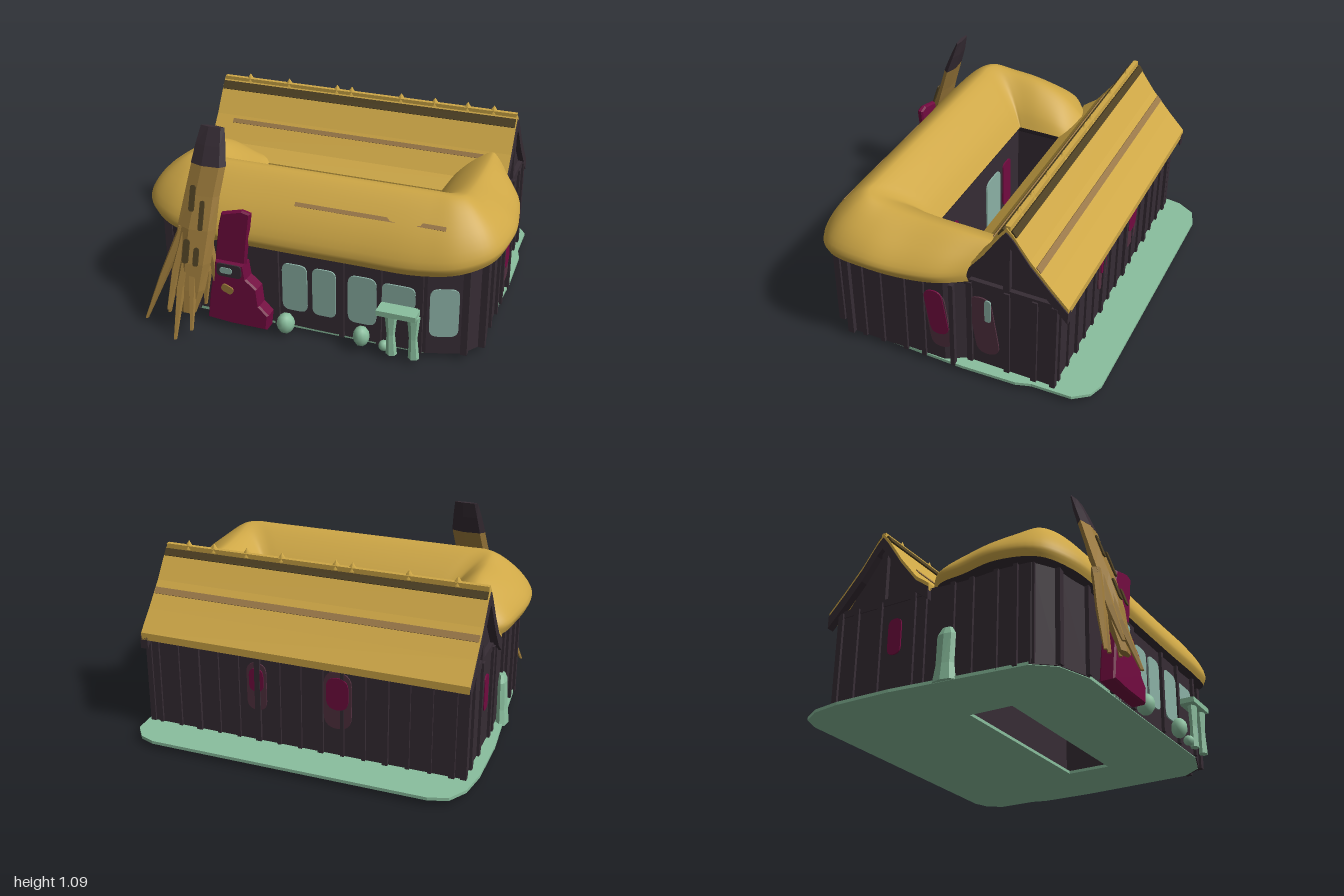
import * as THREE from 'three';

const mat = (name, color, side = THREE.FrontSide) => {
  const m = new THREE.MeshStandardMaterial({ color, side });
  m.name = name;
  return m;
};

export function createModel() {
  const model = new THREE.Group();
  model.name = 'thatchedCourtyardHouse';
  const M = {
    thatch: mat('golden thatch', 0xcea746, THREE.DoubleSide),
    wood: mat('dark timber', 0x362c34, THREE.DoubleSide),
    glass: mat('pale window', 0x8bb1a5),
    stone: mat('green stone', 0x8abf9e),
    cloth: mat('crimson cloth', 0x720b40),
    stain: mat('mauve stain', 0x51303f),
    streak: mat('thatch streak', 0x9a7848),
    ridge: mat('ridge rope', 0x4d3f22),
    root: mat('root brown', 0x9c7a3b, THREE.DoubleSide),
  };

  const add = (name, geo, material, pos = [0, 0, 0], rot = [0, 0, 0]) => {
    const mesh = new THREE.Mesh(geo, material);
    mesh.name = name;
    mesh.position.set(...pos);
    mesh.rotation.set(...rot);
    model.add(mesh);
    return mesh;
  };
  const box = (name, m, size, pos, rot) => add(name, new THREE.BoxGeometry(...size), m, pos, rot);
  const shapeOf = pts => new THREE.Shape(pts.map(p => new THREE.Vector2(...p)));
  const V = p => new THREE.Vector3(...p);

  // Surface through a grid of points; rows run along u, entries along v
  const gridGeo = rows => {
    const n = rows[0].length, pos = rows.flat().flatMap(p => [p.x, p.y, p.z]), idx = [];
    for (let i = 0; i < rows.length - 1; i++) for (let j = 0; j < n - 1; j++) {
      const a = i * n + j, b = a + n;
      idx.push(a, b, a + 1, b, b + 1, a + 1);
    }
    const g = new THREE.BufferGeometry();
    g.setAttribute('position', new THREE.Float32BufferAttribute(pos, 3));
    g.setIndex(idx);
    g.computeVertexNormals();
    return g;
  };
  const smoothRows = (rows, nu, nv) => {
    const fine = rows.map(r => new THREE.CatmullRomCurve3(r).getPoints(nv));
    const cols = fine[0].map((_, j) => new THREE.CatmullRomCurve3(fine.map(r => r[j])).getPoints(nu));
    return cols[0].map((_, i) => cols.map(c => c[i]));
  };

  // Flat plan extruded downward from y = top
  const slab = (name, m, outline, hole, top, height) => {
    const s = shapeOf(outline);
    const [x0, x1, z0, z1] = hole;
    s.holes.push(new THREE.Path([[x0, z0], [x0, z1], [x1, z1], [x1, z0]].map(p => new THREE.Vector2(...p))));
    const g = new THREE.ExtrudeGeometry(s, { depth: height, bevelEnabled: false });
    g.rotateX(Math.PI / 2);
    return add(name, g, m, [0, top, 0]);
  };
  // Profile in z, y extruded along x
  const alongX = (name, m, pts, x0, x1) => {
    const g = new THREE.ExtrudeGeometry(shapeOf(pts), { depth: x1 - x0, bevelEnabled: false });
    g.rotateY(-Math.PI / 2);
    return add(name, g, m, [x1, 0, 0]);
  };
  // Thin rounded plate facing outward
  const plate = (name, m, w, h, pos, ry = 0, k = 0.3, tilt = 0) => {
    const r = Math.min(w, h) * k, a = w / 2, b = h / 2, s = new THREE.Shape();
    s.moveTo(-a + r, -b).lineTo(a - r, -b).quadraticCurveTo(a, -b, a, -b + r).lineTo(a, b - r)
      .quadraticCurveTo(a, b, a - r, b).lineTo(-a + r, b).quadraticCurveTo(-a, b, -a, b - r)
      .lineTo(-a, -b + r).quadraticCurveTo(-a, -b, -a + r, -b);
    return add(name, new THREE.ExtrudeGeometry(s, { depth: 0.008, bevelEnabled: false, curveSegments: 5 }), m, pos, [0, ry, tilt]);
  };
  // Tapered limb through [x, y, z, radiusX, radiusZ], listed top to bottom
  const limb = (name, m, pts, sides = 6) => {
    const ends = [[...pts[0].slice(0, 3), 0, 0], ...pts, [...pts.at(-1).slice(0, 3), 0, 0]];
    const rows = ends.map(([x, y, z, rx, rz]) => Array.from({ length: sides + 1 }, (_, j) => {
      const a = -j / sides * Math.PI * 2 + Math.PI / 4;
      return new THREE.Vector3(x + rx * Math.cos(a), y, z + rz * Math.sin(a));
    }));
    const g = gridGeo(rows).toNonIndexed();
    g.computeVertexNormals();
    return add(name, g, m);
  };

  // Base and walls around an open courtyard
  slab('groundSlab', M.stone, [[-0.8, -0.915], [0.72, -0.91], [0.8, -0.88], [0.86, -0.8], [0.865, -0.58], [0.89, -0.5],
    [0.9, -0.2], [0.88, 0.45], [0.8, 0.56], [0.62, 0.62], [-0.64, 0.62], [-0.83, 0.56], [-0.92, 0.45], [-0.95, 0.1],
    [-0.985, -0.3], [-0.985, -0.62], [-0.96, -0.78], [-0.9, -0.88]], [-0.54, 0.51, -0.12, 0.13], 0.045, 0.017);
  slab('walls', M.wood, [[-0.92, -0.69], [0.83, -0.69], [0.83, -0.2], [0.89, -0.1], [0.89, 0.46], [0.82, 0.56],
    [0.64, 0.62], [-0.66, 0.62], [-0.84, 0.56], [-0.92, 0.46]], [-0.56, 0.53, -0.15, 0.15], 0.58, 0.548);

  // Wall posts
  const post = (x, z, w = 0.025) => box('wallPost', M.wood, [w, 0.54, w], [x, 0.305, z]);
  for (const x of [-0.66, -0.42, -0.18, 0.185, 0.39, 0.61]) post(x, 0.625);
  for (const s of [-1, 1]) { post(s * 0.83, 0.56, 0.035); post(s * 0.9, 0.46, 0.035); }
  for (const z of [0.38, 0.27, 0.13, 0.02, -0.15]) { post(0.893, z); post(-0.922, z); }
  for (const z of [-0.22, -0.43, -0.58, -0.685]) { post(0.83, z, 0.03); post(-0.92, z, 0.03); }
  for (let i = 0; i < 15; i++) post(-0.86 + i * 0.117, -0.692, i % 3 ? 0.02 : 0.03);

  // Back hall roof
  const top = [[-0.755, 0.59], [-0.66, 0.69], [-0.55, 0.815], [-0.46, 0.94], [-0.425, 0.975],
    [-0.39, 0.93], [-0.3, 0.79], [-0.2, 0.66], [-0.12, 0.6]];
  const band = (dTop, dBottom) => [...top.map(([z, y]) => [z, y - dTop]), ...top.map(([z, y]) => [z, y - dBottom]).reverse()];
  alongX('hallRoof', M.thatch, band(0, 0.04), -0.945, 0.835);
  for (const x of [-0.95, 0.8]) alongX('bargeBoard', M.wood, band(0.022, 0.09), x, x + 0.042);
  alongX('gableWall', M.wood, [[-0.69, 0.56], [-0.15, 0.56], [-0.425, 0.93]], -0.9, 0.81);
  for (const x of [-0.905, 0.815]) {
    box('tieBeam', M.wood, [0.04, 0.04, 0.52], [x, 0.57, -0.42]);
    box('kingPost', M.wood, [0.04, 0.34, 0.035], [x, 0.74, -0.425]);
  }
  // Ridge cap, ropes and pegs
  box('ridgeCap', M.thatch, [1.77, 0.03, 0.026], [-0.055, 0.97, -0.43]);
  box('ridgeRopeFront', M.ridge, [1.77, 0.014, 0.05], [-0.055, 0.938, -0.393], [1.0, 0, 0]);
  box('ridgeRopeBack', M.ridge, [1.77, 0.014, 0.04], [-0.055, 0.943, -0.46], [-0.95, 0, 0]);
  for (const x of [-0.78, -0.53, -0.23, -0.14, 0.16, 0.36, 0.55, 0.7])
    add('ridgePeg', new THREE.ConeGeometry(0.034, 0.05, 4), M.thatch, [x, 0.99, -0.43]).scale.z = 0.6;
  box('frontStreak', M.streak, [1.55, 0.01, 0.026], [-0.06, 0.764, -0.28], [0.915, 0, 0]);
  box('backStreak', M.streak, [1.77, 0.01, 0.036], [-0.055, 0.77, -0.59], [-0.85, 0, 0]);

  // U-shaped wing roof stations: eave, ridge and inner edge in x, z, then ridge and eave heights
  const front = [
    [0.98, 0.1, 0.74, 0.1, 0.5, 0.03, 0.81, 0.63],
    [1.0, 0.3, 0.74, 0.28, 0.5, 0.12, 0.83, 0.64],
    [0.95, 0.53, 0.74, 0.38, 0.5, 0.13, 0.855, 0.62],
    [0.81, 0.64, 0.7, 0.41, 0.48, 0.13, 0.86, 0.585],
    [0.6, 0.68, 0.6, 0.41, 0.42, 0.13, 0.86, 0.56],
    [0.25, 0.68, 0.25, 0.41, 0.2, 0.13, 0.86, 0.555],
  ];
  const rightEnd = [
    [0.86, -0.22, 0.73, -0.31, 0.5, -0.22, 0.79, 0.64],
    [0.94, -0.08, 0.74, -0.12, 0.5, -0.1, 0.805, 0.635],
  ];
  const leftEnd = [
    [-0.86, -0.15, -0.74, -0.19, -0.54, -0.18, 0.64, 0.61],
    [-0.95, -0.06, -0.74, -0.06, -0.54, -0.08, 0.745, 0.63],
  ];
  const frontLeft = front.map(([ox, oz, rx, rz, ix, ...rest]) => [-ox, oz, -rx, rz, -ix - 0.04, ...rest]);
  const stations = [...leftEnd, ...frontLeft, ...front.slice().reverse(), ...rightEnd.slice().reverse()];
  const section = ([ox, oz, rx, rz, ix, iz, ry, ey]) => {
    const out = (f, y) => V([rx + (ox - rx) * f, y, rz + (oz - rz) * f]);
    const inn = (f, y) => V([rx + (ix - rx) * f, y, rz + (iz - rz) * f]);
    const d = ry - ey, e = ry - 0.6;
    return {
      top: [out(0.93, ey - 0.05), out(1, ey), out(0.82, ey + d * 0.38), out(0.5, ey + d * 0.73), out(0.2, ey + d * 0.95),
        out(0, ry), inn(0.35, ry - e * 0.2), inn(0.75, ry - e * 0.6), inn(1, 0.6)],
      under: [inn(1, 0.6), inn(0.9, 0.56), out(0.7, ey - 0.065), out(0.93, ey - 0.05)],
    };
  };
  const sections = stations.map(section);
  add('wingRoof', gridGeo(smoothRows(sections.map(s => s.top), 90, 24)), M.thatch);
  add('wingRoofUnderside', gridGeo(smoothRows(sections.map(s => s.under), 90, 6)), M.wood);
  box('wingStreak', M.streak, [0.8, 0.034, 0.022], [0.31, 0.737, 0.562], [0.8, 0, 0]);

  // Windows along the front and in the courtyard
  for (const [x, w] of [[-0.08, 0.14], [0.085, 0.13], [0.295, 0.155]])
    plate('frontWindow', M.glass, w, 0.28, [x, 0.28, 0.621]);
  plate('shortWindow', M.glass, 0.18, 0.13, [0.49, 0.345, 0.621]);
  plate('cornerWindow', M.glass, 0.15, 0.28, [0.725, 0.28, 0.593], 0.32);
  plate('courtyardDoor', M.glass, 0.18, 0.4, [-0.2, 0.25, 0.149], Math.PI);
  for (const x of [-0.38, 0.3]) plate('courtyardHanging', M.cloth, 0.1, 0.3, [x, 0.3, 0.149], Math.PI);

  // Stains and painted patches on the outer walls
  const R = Math.PI / 2;
  plate('rightPatch', M.cloth, 0.105, 0.28, [0.892, 0.36, -0.06], R, 0.5, 0.16);
  plate('rightPatchHalo', M.stain, 0.12, 0.36, [0.887, 0.31, -0.065], R, 0.5, 0.14);
  plate('rightStain', M.stain, 0.13, 0.37, [0.831, 0.31, -0.3], R, 0.5, 0.16);
  plate('rightSlit', M.glass, 0.035, 0.14, [0.837, 0.42, -0.325], R, 0.5);
  plate('leftPatch', M.cloth, 0.08, 0.2, [-0.921, 0.36, -0.33], -R, 0.5);
  for (const [x, w, h] of [[0.2, 0.08, 0.13], [-0.25, 0.12, 0.18]]) {
    plate('backPatch', M.cloth, w, h, [x, 0.4, -0.696], Math.PI, 0.5);
    plate('backPatchHalo', M.stain, w + 0.03, h + 0.14, [x, 0.36, -0.69], Math.PI, 0.5);
  }

  // Leaning rooted post
  limb('rootPostHead', M.wood, [[-0.56, 1.09, 0.52, 0.068, 0.012], [-0.563, 1.0, 0.55, 0.085, 0.025], [-0.565, 0.9, 0.585, 0.1, 0.03]]);
  limb('rootPostBody', M.root, [[-0.565, 0.9, 0.585, 0.098, 0.029], [-0.585, 0.75, 0.635, 0.1, 0.03],
    [-0.6, 0.58, 0.69, 0.11, 0.04], [-0.61, 0.4, 0.735, 0.1, 0.045], [-0.625, 0.25, 0.77, 0.09, 0.035], [-0.63, 0.12, 0.8, 0.05, 0.02]]);
  const roots = [[-0.67, -0.78, -0.87, 0.04, 0.82], [-0.68, -0.72, -0.75, 0.08, 0.78], [-0.65, -0.7, -0.72, 0.14, 0.84],
    [-0.62, -0.66, -0.66, 0.0, 0.9], [-0.6, -0.6, -0.58, 0.05, 0.86], [-0.56, -0.54, -0.55, 0.15, 0.74], [-0.56, -0.52, -0.5, 0.25, 0.7]];
  for (const [x0, x1, x2, y, z] of roots)
    limb('root', M.root, [[x0, 0.58, 0.685, 0.035, 0.03], [x1, (0.55 + y) / 2, (0.69 + z) / 2, 0.026, 0.024], [x2, y, z, 0.01, 0.01]], 5);
  for (const [x, y, w, h] of [[-0.62, 0.74, 0.03, 0.14], [-0.56, 0.66, 0.025, 0.16], [-0.63, 0.47, 0.035, 0.13], [-0.57, 0.45, 0.03, 0.1]])
    plate('rootHollow', M.ridge, w, h, [x, y, 0.69 + (0.6 - y) * 0.33 + 0.035], 0, 0.5).rotation.x = -0.32;

  // Crimson banner above a draped figure
  const drape = (name, pts, depth, z) => add(name, new THREE.ExtrudeGeometry(shapeOf(pts),
    { depth, bevelEnabled: true, bevelSize: 0.008, bevelThickness: 0.01, bevelSegments: 1 }), M.cloth, [0, 0, z]);
  drape('banner', [[-0.5, 0.4], [-0.34, 0.4], [-0.325, 0.52], [-0.3, 0.7], [-0.34, 0.71], [-0.45, 0.68], [-0.47, 0.6]], 0.015, 0.665);
  drape('drapedFigure', [[-0.55, 0.05], [-0.42, 0.04], [-0.22, 0.04], [-0.21, 0.12], [-0.26, 0.17], [-0.27, 0.27], [-0.33, 0.32],
    [-0.34, 0.4], [-0.49, 0.4], [-0.51, 0.3], [-0.53, 0.2]], 0.065, 0.635);
  plate('figureHollow', M.wood, 0.14, 0.075, [-0.415, 0.365, 0.711]);
  plate('figureFace', M.glass, 0.07, 0.035, [-0.43, 0.365, 0.715], 0, 0.5);
  plate('figureSash', M.root, 0.07, 0.045, [-0.43, 0.25, 0.711], 0, 0.5, -0.4);

  // Stone table, boulders and standing stone
  box('tableTop', M.stone, [0.21, 0.03, 0.09], [0.505, 0.285, 0.675]);
  for (const x of [0.47, 0.59])
    limb('tableLeg', M.stone, [[x, 0.28, 0.68, 0.035, 0.025], [x, 0.15, 0.68, 0.022, 0.02], [x + 0.005, 0.03, 0.68, 0.03, 0.025]]);
  for (const [x, y, r, h] of [[-0.12, 0.075, 0.05, 1.2], [0.305, 0.09, 0.045, 1.3], [0.43, 0.06, 0.03, 1]])
    add('boulder', new THREE.IcosahedronGeometry(r, 1), M.stone, [x, y, 0.665]).scale.y = h;
  limb('standingStone', M.stone, [[-0.935, 0.32, 0.0, 0.015, 0.03], [-0.94, 0.28, 0.0, 0.025, 0.055], [-0.945, 0.12, 0.0, 0.03, 0.055], [-0.95, 0.03, 0.0, 0.035, 0.07]], 8);

  return model;
}
